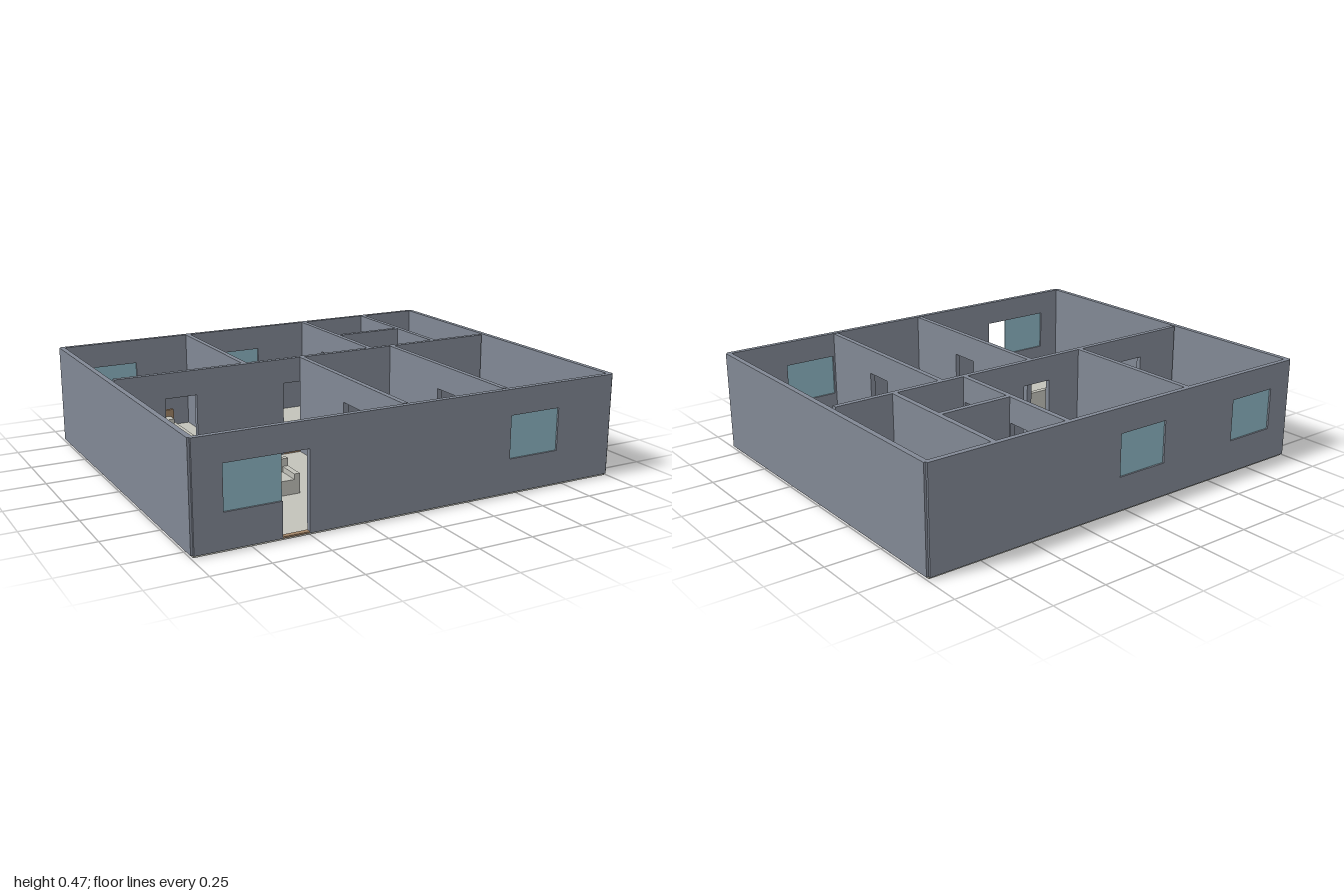
import * as THREE from 'three';

const mat = (name, color, side = THREE.FrontSide) => {
  const m = new THREE.MeshStandardMaterial({ color, side });
  m.name = name;
  return m;
};

// Shared levels: floor surface, wall top, window sill and head of openings
const FLOOR = 0.01, TOP = 0.47, SILL = 0.163, HEAD = 0.355;

export function createModel() {
  const house = new THREE.Group();
  house.name = 'house';
  const wallMat = mat('slateWall', 0x818894);
  const pale = mat('paleGrey', 0xc2c2ba);
  const glass = mat('blueGlass', 0x8cb6c4);
  const green = mat('paleGreen', 0xa2c4b3);
  const wood = mat('brownWood', 0xa08366);

  // Box given by its limits on each axis
  function box(parent, name, material, [x0, x1], [y0, y1], [z0, z1]) {
    const mesh = new THREE.Mesh(new THREE.BoxGeometry(x1 - x0, y1 - y0, z1 - z0), material);
    mesh.position.set((x0 + x1) / 2, (y0 + y1) / 2, (z0 + z1) / 2);
    mesh.name = name;
    parent.add(mesh);
    return mesh;
  }

  // Wall along x or z, with door notches [from, to, ledge] and windows [from, to].
  // A door with a ledge has a window opening joined to it on its near side.
  function wall(name, axis, at, from, to, { doors = [], windows = [], thick = 0.024 } = {}) {
    const group = new THREE.Group();
    group.name = name;
    const shape = new THREE.Shape();
    shape.moveTo(from, FLOOR);
    for (const [a, b, ledge] of doors) {
      if (ledge !== undefined) {
        shape.lineTo(b - (b - a), FLOOR);
        shape.lineTo(a, SILL);
        shape.lineTo(ledge, SILL);
        shape.lineTo(ledge, HEAD);
      } else {
        shape.lineTo(a, FLOOR);
        shape.lineTo(a, HEAD);
      }
      shape.lineTo(b, HEAD);
      shape.lineTo(b, FLOOR);
      // Threshold
      box(group, 'threshold', wood, [a, b], [FLOOR, 0.017], [-thick / 2, thick / 2]);
    }
    shape.lineTo(to, FLOOR);
    shape.lineTo(to, TOP);
    shape.lineTo(from, TOP);
    shape.closePath();

    const pane = (a, b) => box(group, 'windowPane', glass, [a, b], [SILL, HEAD], [-0.004, 0.004]);
    for (const [a, b] of windows) {
      const hole = new THREE.Path();
      hole.moveTo(a, SILL);
      hole.lineTo(a, HEAD);
      hole.lineTo(b, HEAD);
      hole.lineTo(b, SILL);
      hole.closePath();
      shape.holes.push(hole);
      pane(a, b);
    }
    for (const [a, , ledge] of doors) if (ledge !== undefined) pane(ledge, a);

    const geo = new THREE.ExtrudeGeometry(shape, { depth: thick, bevelEnabled: false });
    geo.translate(0, 0, -thick / 2);
    const body = new THREE.Mesh(geo, wallMat);
    body.name = 'wallBody';
    group.add(body);
    if (axis === 'x') group.position.z = at;
    else {
      group.rotation.y = -Math.PI / 2;
      group.position.x = at;
    }
    house.add(group);
  }

  // Floor slab and balcony floor
  box(house, 'floor', pale, [-0.99, 0.99], [0, FLOOR], [-0.82, 0.82]);
  box(house, 'balconyFloor', green, [0.69, 0.96], [FLOOR, 0.015], [-0.803, -0.123]);

  // Outer walls
  wall('frontWall', 'x', 0.818, -0.99, 0.99, { doors: [[-0.622, -0.505, -0.867]], windows: [[0.45, 0.7]] });
  wall('backWall', 'x', -0.818, -0.99, 0.99, { windows: [[-0.87, -0.622], [-0.206, 0.045]] });
  for (const s of [1, -1]) wall(s > 0 ? 'leftWall' : 'rightWall', 'z', s * 0.988, -0.82, 0.82);

  // Inner walls
  wall('middleWall', 'x', -0.112, -0.965, 0.96, { doors: [[-0.737, -0.588], [-0.157, -0.008]] });
  wall('backBedroomWall', 'z', -0.344, -0.806, -0.124);
  wall('bathroomWall', 'z', 0.316, -0.806, -0.124, { doors: [[-0.585, -0.458], [-0.245, -0.135]] });
  wall('balconyWall', 'z', 0.678, -0.806, -0.124);
  wall('bathroomDivider', 'x', -0.441, 0.328, 0.666);
  wall('livingRoomWall', 'z', -0.059, -0.1, 0.8, { doors: [[0.318, 0.465]] });
  wall('frontBedroomWall', 'z', 0.432, -0.1, 0.8, { doors: [[0.318, 0.465]] });

  // Beds: frame, headboard, mattress and two pillows
  function bed(name, x, z) {
    const g = new THREE.Group();
    g.name = name;
    box(g, 'bedFrame', wood, [-0.147, 0.147], [FLOOR, 0.045], [-0.145, 0.163]);
    box(g, 'headboard', wood, [-0.147, 0.147], [FLOOR, 0.15], [-0.163, -0.145]);
    box(g, 'mattress', pale, [-0.139, 0.139], [0.045, 0.095], [-0.145, 0.16]);
    for (const s of [-1, 1]) {
      box(g, 'pillow', pale, [s * 0.069 - 0.059, s * 0.069 + 0.059], [0.095, 0.118], [-0.141, -0.088]);
    }
    g.position.set(x, 0, z);
    house.add(g);
  }
  bed('backBed', -0.657, -0.462);
  bed('frontBed', 0.695, 0.34);

  // Sofa: seat, backrest and two arms
  const sofa = new THREE.Group();
  sofa.name = 'sofa';
  box(sofa, 'seat', pale, [-0.157, 0.157], [FLOOR, 0.075], [-0.043, 0.068]);
  box(sofa, 'backrest', pale, [-0.183, 0.183], [FLOOR, 0.135], [-0.068, -0.043]);
  for (const s of [-1, 1]) {
    box(sofa, 'armrest', pale, [s * 0.17 - 0.013, s * 0.17 + 0.013], [FLOOR, 0.1], [-0.043, 0.068]);
  }
  sofa.position.set(-0.516, 0, 0.339);
  house.add(sofa);

  // Dining table on four legs
  const table = new THREE.Group();
  table.name = 'table';
  box(table, 'tableTop', wood, [-0.124, 0.124], [0.115, 0.13], [-0.072, 0.072]);
  for (const x of [-0.112, 0.112]) for (const z of [-0.06, 0.06]) {
    box(table, 'tableLeg', wood, [x - 0.007, x + 0.007], [FLOOR, 0.115], [z - 0.007, z + 0.007]);
  }
  table.position.set(0.186, 0, 0.342);
  house.add(table);

  return house;
}
